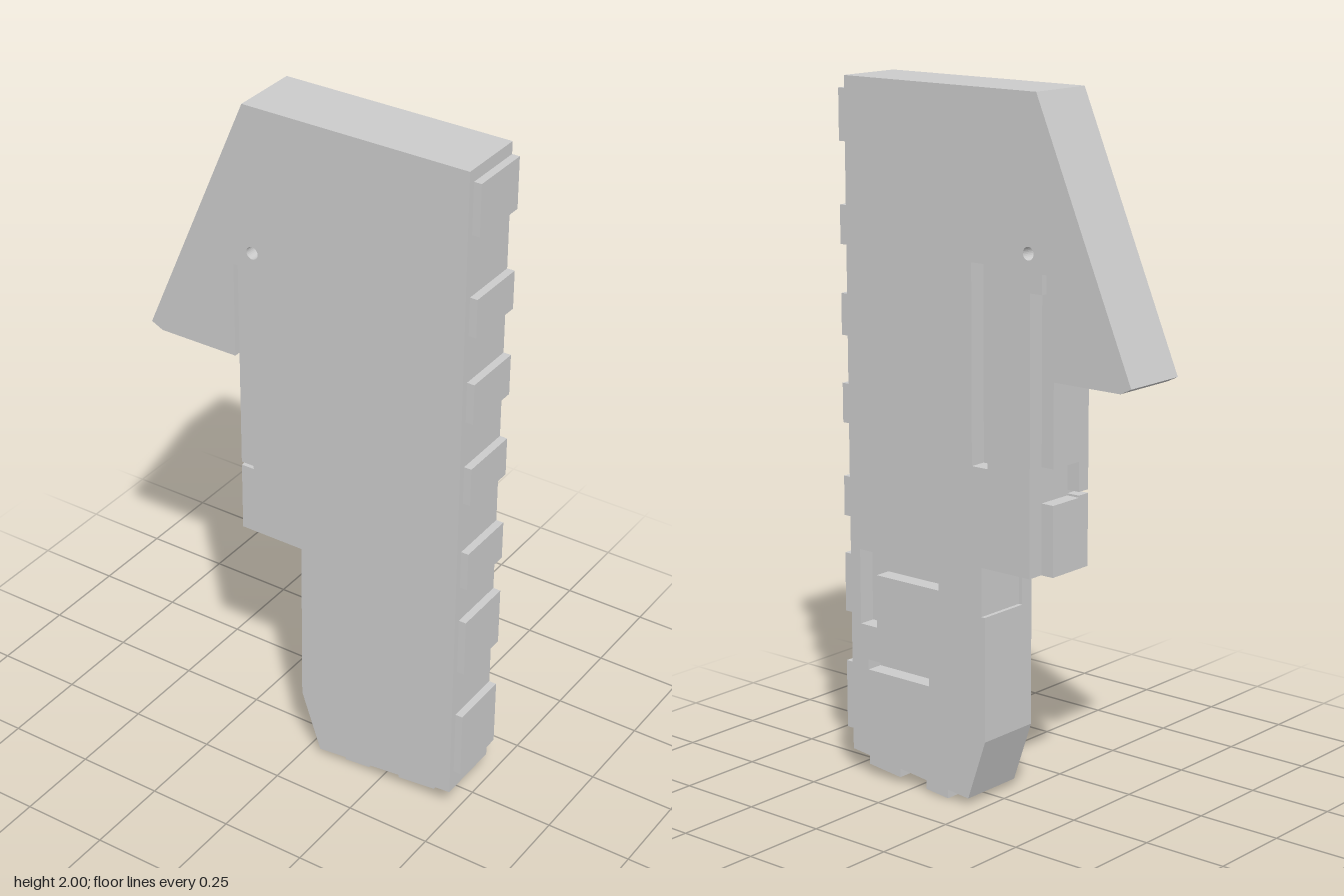
import * as THREE from 'three';

const material = new THREE.MeshStandardMaterial({ color: 0xcccccc, flatShading: true, side: THREE.DoubleSide });

// Extrudes an outline between two depths
function slab(name, points, z0, z1, holes = []) {
  const shape = new THREE.Shape(points.map(p => new THREE.Vector2(...p)));
  shape.holes.push(...holes);
  const geometry = new THREE.ExtrudeGeometry(shape, { depth: z1 - z0, bevelEnabled: false });
  geometry.translate(0, 0, z0);
  const mesh = new THREE.Mesh(geometry, material);
  mesh.name = name;
  return mesh;
}

const path = points => new THREE.Path(points.map(p => new THREE.Vector2(...p)));
const rectangle = (x0, y0, x1, y1) => [[x0, y0], [x1, y0], [x1, y1], [x0, y1]];

function pinHole() {
  const hole = new THREE.Path();
  hole.absarc(-0.165, 1.58, 0.018, 0, Math.PI * 2, true);
  return hole;
}

// Shared silhouette: only the edge behind the nose and the top of the leg vary
function outline(neck, legTop) {
  return [
    [0.483, 2], [-0.19, 2], [-0.505, 1.267], [-0.47, 1.25], [-0.226, 1.25], [-0.226, 1.53], [-0.212, 1.53],
    ...neck, ...legTop,
    [-0.015, 0.2], [0.047, 0.02], [0.483, 0.065],
  ];
}

export function createModel() {
  const group = new THREE.Group();
  group.name = 'slottedPlate';

  // Body in three layers, so that recesses of different depth open to the back
  const recessedLeg = [[-0.003, 0.7], [-0.003, 0.56], [-0.015, 0.56]];
  const frontNeck = [[-0.212, 0.916], [-0.172, 0.916], [-0.172, 0.906], [-0.212, 0.906], [-0.212, 0.7]];
  const middleNeck = [[-0.212, 1.0], [-0.172, 1.0], [-0.172, 0.9], [-0.212, 0.9], [-0.212, 0.7]];
  const backNeck = [[-0.212, 1.476], [-0.172, 1.476], [-0.172, 0.7]];

  const grooves = [
    path(rectangle(-0.025, 0.98, 0.03, 1.536)),
    path([[0.447, 0.67], [0.447, 0.45], [0.385, 0.45], [0.385, 0.605], [0.152, 0.605], [0.152, 0.67]]),
    path(rectangle(0.19, 0.318, 0.42, 0.348)),
  ];

  group.add(
    slab('frontLayer', outline(frontNeck, [[-0.015, 0.7]]), 0.06, 0.1, [pinHole()]),
    slab('middleLayer', outline(middleNeck, recessedLeg), -0.05, 0.06, [pinHole()]),
    slab('backLayer', outline(backNeck, recessedLeg), -0.1, -0.05, [pinHole(), ...grooves]),
  );

  // Raised pads along the long straight edge
  const edgePads = [[1.82, 1.965], [1.535, 1.645], [1.28, 1.398], [1.03, 1.143], [0.76, 0.875], [0.477, 0.65], [0.127, 0.328]];
  for (const [y0, y1] of edgePads) group.add(slab('edgePad', rectangle(0.47, y0, 0.505, y1), -0.1, 0.08));

  // Pads following the slanted bottom edge
  const bottomY = x => 0.02 + (x - 0.047) * 0.045 / 0.436;
  for (const [x0, x1] of [[0.122, 0.202], [0.302, 0.42]]) {
    const points = [
      [x0, bottomY(x0) - 0.026], [x1, bottomY(x1) - 0.026],
      [x1, bottomY(x1) + 0.01], [x0, bottomY(x0) + 0.01],
    ];
    group.add(slab('bottomPad', points, -0.1, 0.08));
  }
  return group;
}
